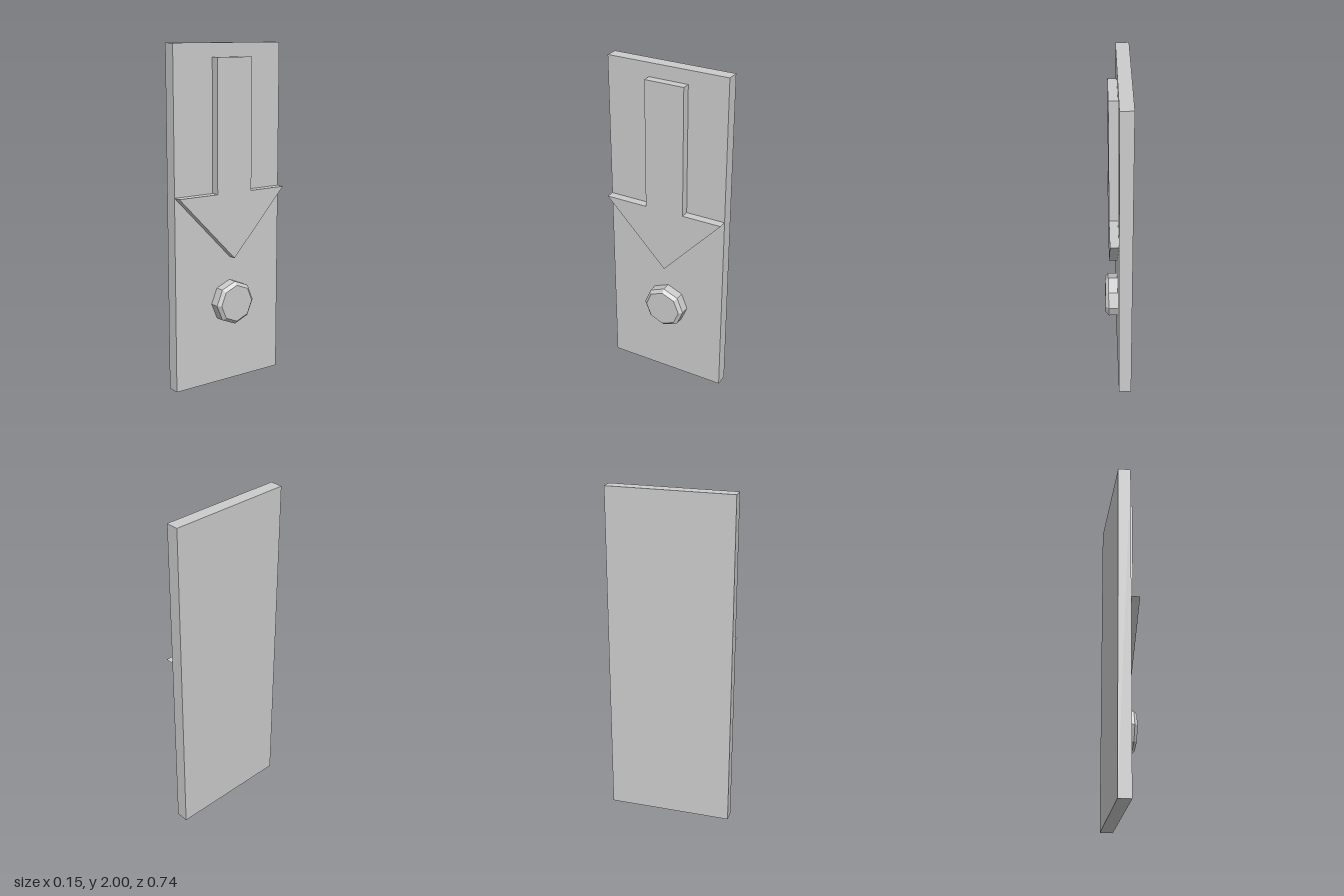
import * as THREE from 'three';

export function createModel() {
  const group = new THREE.Group();
  const material = new THREE.MeshStandardMaterial({ color: 0xcccccc, flatShading: true });

  const add = (name, geometry) => {
    const mesh = new THREE.Mesh(geometry, material);
    mesh.name = name;
    group.add(mesh);
    return mesh;
  };

  // Upright backing plate
  const plate = add('plate', new THREE.BoxGeometry(0.075, 2, 0.74));
  plate.position.set(-0.0375, 1, 0);

  // Raised arrow pointing down; shape x runs along -z
  const outline = [
    [0.01, 0.76], [0.37, 1.15], [0.13, 1.15], [0.13, 1.92],
    [-0.11, 1.92], [-0.11, 1.15], [-0.37, 1.15],
  ].map(([x, y]) => new THREE.Vector2(x, y));
  const arrow = add('arrow', new THREE.ExtrudeGeometry(new THREE.Shape(outline), {
    depth: 0.05, bevelEnabled: false,
  }));
  arrow.rotation.y = Math.PI / 2;

  // Eight-sided button with a bevelled rim, axis along +x
  const profile = [[0, 0], [0.13, 0], [0.13, 0.055], [0.11, 0.074], [0, 0.074]]
    .map(([r, h]) => new THREE.Vector2(r, h));
  const button = add('button', new THREE.LatheGeometry(profile, 8));
  button.rotation.z = -Math.PI / 2;
  button.position.set(0, 0.49, -0.01);

  return group;
}
